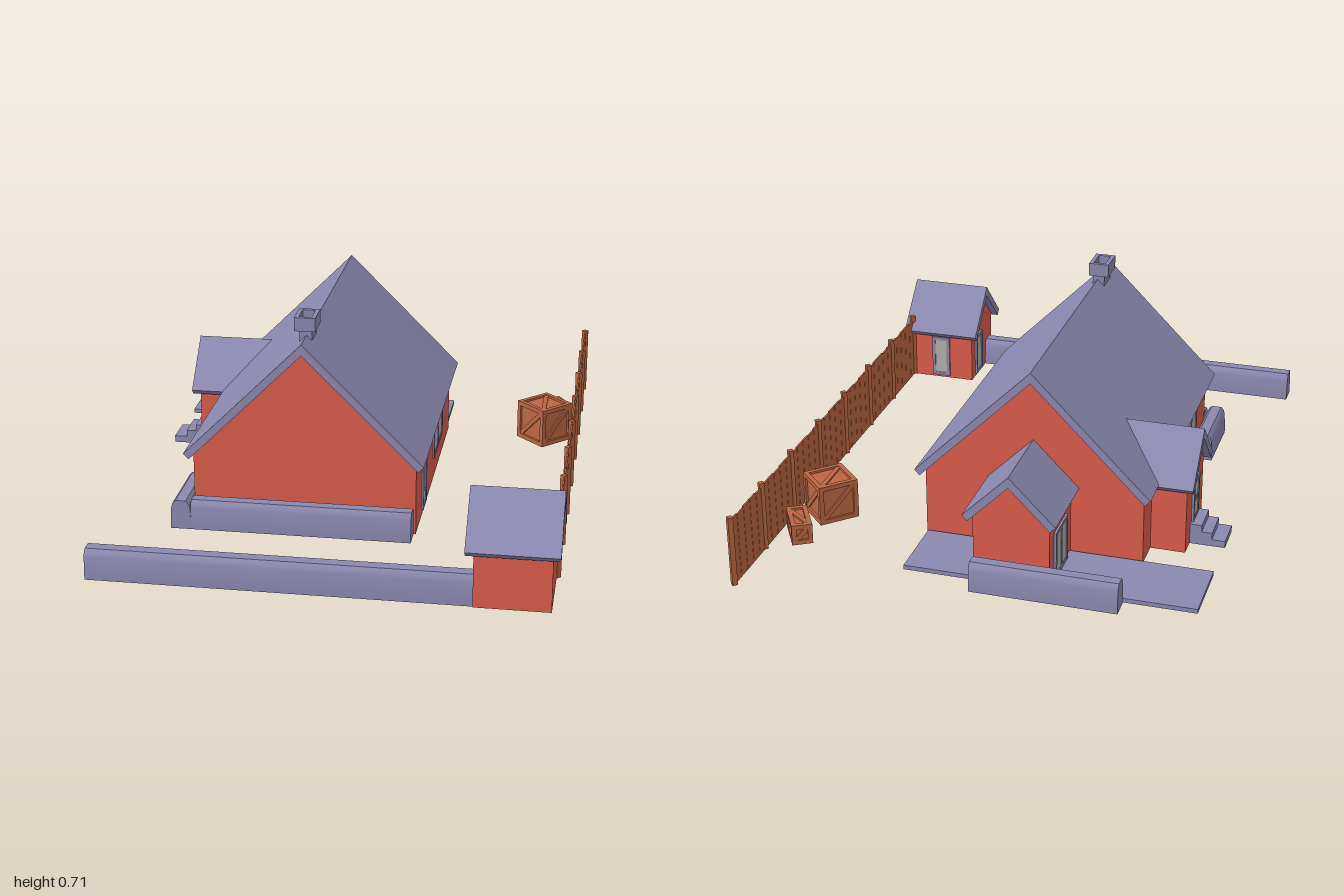
import * as THREE from 'three';
import { toCreasedNormals } from 'three/addons/utils/BufferGeometryUtils.js';

const mat = (color) => new THREE.MeshStandardMaterial({ color });
const brick = mat(0xdb5c4a), slate = mat(0x8b88b0), wood = mat(0xbb6644), glass = mat(0xb0b0a8);

function box(parent, name, material, [w, h, d], [x, y, z]) {
  const mesh = new THREE.Mesh(new THREE.BoxGeometry(w, h, d), material);
  mesh.name = name;
  mesh.position.set(x, y, z);
  parent.add(mesh);
  return mesh;
}

// Extrude an outline in x/y along z, from z0 to z1
function extrude(parent, name, material, points, z0, z1) {
  const shape = new THREE.Shape(points.map(([x, y]) => new THREE.Vector2(x, y)));
  const geo = new THREE.ExtrudeGeometry(shape, { depth: z1 - z0, bevelEnabled: false });
  geo.translate(0, 0, z0);
  const mesh = new THREE.Mesh(toCreasedNormals(geo, 0.6), material);
  mesh.name = name;
  parent.add(mesh);
  return mesh;
}

// Gabled volume: pentagonal walls under a 45 degree roof, ridge along local z
function gable(parent, name, { pos, turn = 0, half, wallHalf, ridge, walls, roof, base = 0 }) {
  const g = new THREE.Group();
  g.name = name;
  g.position.set(pos[0], 0, pos[1]);
  g.rotation.y = turn;
  const t = 0.0185, under = ridge - 2 * t;
  extrude(g, name + 'Walls', brick, [
    [-wallHalf, base], [wallHalf, base], [wallHalf, under - wallHalf], [0, under], [-wallHalf, under - wallHalf],
  ], ...walls);
  extrude(g, name + 'Roof', slate, [
    [0, ridge], [-half, ridge - half], [-half + t, ridge - half - t],
    [0, under], [half - t, ridge - half - t], [half, ridge - half],
  ], ...roof);
  parent.add(g);
}

// Framed door or window facing local +z, with evenly spaced bars
function opening(parent, name, [x, y, z], turn, w, h, cols = 1, rows = 1) {
  const g = new THREE.Group(), f = 0.012, d = 0.012;
  g.name = name;
  g.position.set(x, y, z);
  g.rotation.y = turn;
  box(g, 'pane', glass, [w - f, h - f, 0.006], [0, h / 2, 0]);
  for (let i = 0; i <= cols; i++) {
    const edge = i === 0 || i === cols;
    box(g, 'upright', slate, [edge ? f : f * 0.7, h, d], [(i / cols - 0.5) * (w - f), h / 2, 0]);
  }
  for (let j = 0; j <= rows; j++) {
    box(g, 'crossbar', slate, [w, f, d - 0.001], [0, f / 2 + (j / rows) * (h - f), 0]);
  }
  parent.add(g);
}

// Low wall with a rounded coping, running along x or z
function lowWall(parent, name, alongX, from, to, centre, width) {
  const s = width / 2;
  const side = [[s, 0], [s, 0.025], [s * 0.9, 0.075], [s * 0.78, 0.09], [s * 0.5, 0.1]];
  const outline = [...side, ...side.map(([x, y]) => [-x, y]).reverse()];
  const length = (to - from) / 2;
  const mesh = extrude(parent, name, slate, outline, -length, length);
  const mid = (from + to) / 2;
  mesh.position.set(alongX ? mid : centre, 0, alongX ? centre : mid);
  if (alongX) mesh.rotation.y = Math.PI / 2;
}

// Wooden crate: core, edge boards and a diagonal brace on each face
function crate(parent, name, size, [x, z], turn) {
  const g = new THREE.Group(), b = 0.016;
  g.name = name;
  g.position.set(x, size[1] / 2, z);
  g.rotation.y = turn;
  box(g, 'core', wood, size.map((s) => s - 0.016), [0, 0, 0]);
  for (let axis = 0; axis < 3; axis++) {
    const u = (axis + 1) % 3, v = (axis + 2) % 3;
    for (const su of [-1, 1]) for (const sv of [-1, 1]) {
      const dims = [b, b, b], p = [0, 0, 0];
      dims[axis] = size[axis];
      p[u] = (su * (size[u] - b)) / 2;
      p[v] = (sv * (size[v] - b)) / 2;
      box(g, 'edgeBoard', wood, dims, p);
    }
  }
  const [w, h, d] = size;
  const faces = [[w, h, d, 0, 0], [w, h, d, 0, Math.PI], [d, h, w, 0, Math.PI / 2],
    [d, h, w, 0, -Math.PI / 2], [w, d, h, -Math.PI / 2, 0], [w, d, h, Math.PI / 2, 0]];
  for (const [fw, fh, depth, rx, ry] of faces) {
    const face = new THREE.Group();
    face.name = 'crateFace';
    face.rotation.set(rx, ry, 0);
    const brace = box(face, 'brace', wood, [Math.hypot(fw - b, fh - b), b, 0.008], [0, 0, depth / 2 - 0.006]);
    brace.rotation.z = Math.atan2(fh - b, fw - b);
    g.add(face);
  }
  parent.add(g);
}

export function createModel() {
  const model = new THREE.Group();
  model.name = 'cottage';
  const Q = Math.PI / 2;

  // House, rear extension, side porch and shed
  gable(model, 'house', { pos: [-0.135, 0], half: 0.4, wallHalf: 0.372, ridge: 0.65, walls: [-0.49, 0.47], roof: [-0.525, 0.5] });
  gable(model, 'extension', { pos: [-0.135, 0], half: 0.155, wallHalf: 0.127, ridge: 0.4, walls: [-0.742, -0.48], roof: [-0.77, -0.48], base: 0.004 });
  gable(model, 'porch', { pos: [0, -0.255], turn: -Q, half: 0.155, wallHalf: 0.127, ridge: 0.4, walls: [0.48, 0.625], roof: [0.38, 0.65] });
  gable(model, 'shed', { pos: [0, 0.845], turn: Q, half: 0.155, wallHalf: 0.125, ridge: 0.35, walls: [0.475, 0.716], roof: [0.45, 0.74] });

  // Chimney with a hollow cap
  box(model, 'chimneyNeck', slate, [0.042, 0.075, 0.085], [-0.138, 0.637, 0.357]);
  for (const s of [-1, 1]) {
    box(model, 'chimneyCapSide', slate, [0.014, 0.046, 0.1], [-0.14 + s * 0.028, 0.687, 0.357]);
    box(model, 'chimneyCapEnd', slate, [0.042, 0.046, 0.014], [-0.14, 0.687, 0.357 + s * 0.043]);
  }

  // Doors and windows
  opening(model, 'sideDoor', [0.237, 0.015, 0.265], Q, 0.09, 0.19, 1, 1);
  opening(model, 'sideWindow', [0.237, 0.08, -0.115], Q, 0.25, 0.11, 2, 1);
  opening(model, 'patioWindow', [-0.51, 0.02, 0.16], -Q, 0.26, 0.205, 3, 2);
  opening(model, 'porchDoor', [-0.627, 0.07, -0.255], -Q, 0.085, 0.15, 1, 2);
  opening(model, 'extensionDoor', [-0.264, 0.015, -0.62], -Q, 0.14, 0.165, 2, 1);
  opening(model, 'shedDoor', [0.6, 0.01, 0.718], Math.PI, 0.07, 0.16);
  opening(model, 'shedSideDoor', [0.473, 0.01, 0.8], -Q, 0.075, 0.16);

  // Paved terrace and porch steps
  box(model, 'terrace', slate, [0.975, 0.015, 0.245], [-0.2575, 0.0075, -0.6225]);
  [-0.745, -0.7, -0.665].forEach((x, i) => {
    const h = 0.024 * (i + 1);
    box(model, 'porchStep', slate, [-0.62 - x, h, 0.115], [(x - 0.62) / 2, h / 2, -0.257]);
  });

  // Low walls
  lowWall(model, 'frontWall', true, -0.745, 0.478, 0.9275, 0.075);
  lowWall(model, 'houseFrontWall', true, -0.505, 0.23, 0.51, 0.07);
  lowWall(model, 'terraceWall', true, -0.505, -0.015, -0.785, 0.07);
  lowWall(model, 'sideWall', false, 0.3, 0.545, -0.538, 0.07);
  lowWall(model, 'shortSideWall', false, -0.13, 0.01, -0.538, 0.07);

  // Fence: diamond posts with five boards per bay
  const fence = new THREE.Group();
  fence.name = 'fence';
  const bay = 1.708 / 7;
  for (let i = 0; i < 8; i++) {
    const z = 0.72 - i * bay;
    box(fence, 'fencePost', wood, [0.0175, 0.245, 0.0175], [0.717, 0.1225, z]).rotation.y = Math.PI / 4;
    if (i === 7) break;
    for (let j = 0; j < 5; j++) {
      const h = 0.228 + 0.004 * ((i + j * 2) % 3 === 0 ? 0 : 1);
      box(fence, 'fenceBoard', wood, [0.006, h, bay / 5 - 0.002], [0.717, h / 2, z - ((j + 0.5) * bay) / 5]);
    }
  }
  model.add(fence);

  // Crates by the fence
  crate(model, 'largeCrate', [0.141, 0.141, 0.141], [0.598, -0.45], Math.PI / 4);
  crate(model, 'smallCrate', [0.14, 0.072, 0.07], [0.643, -0.625], -1.04);
  return model;
}
